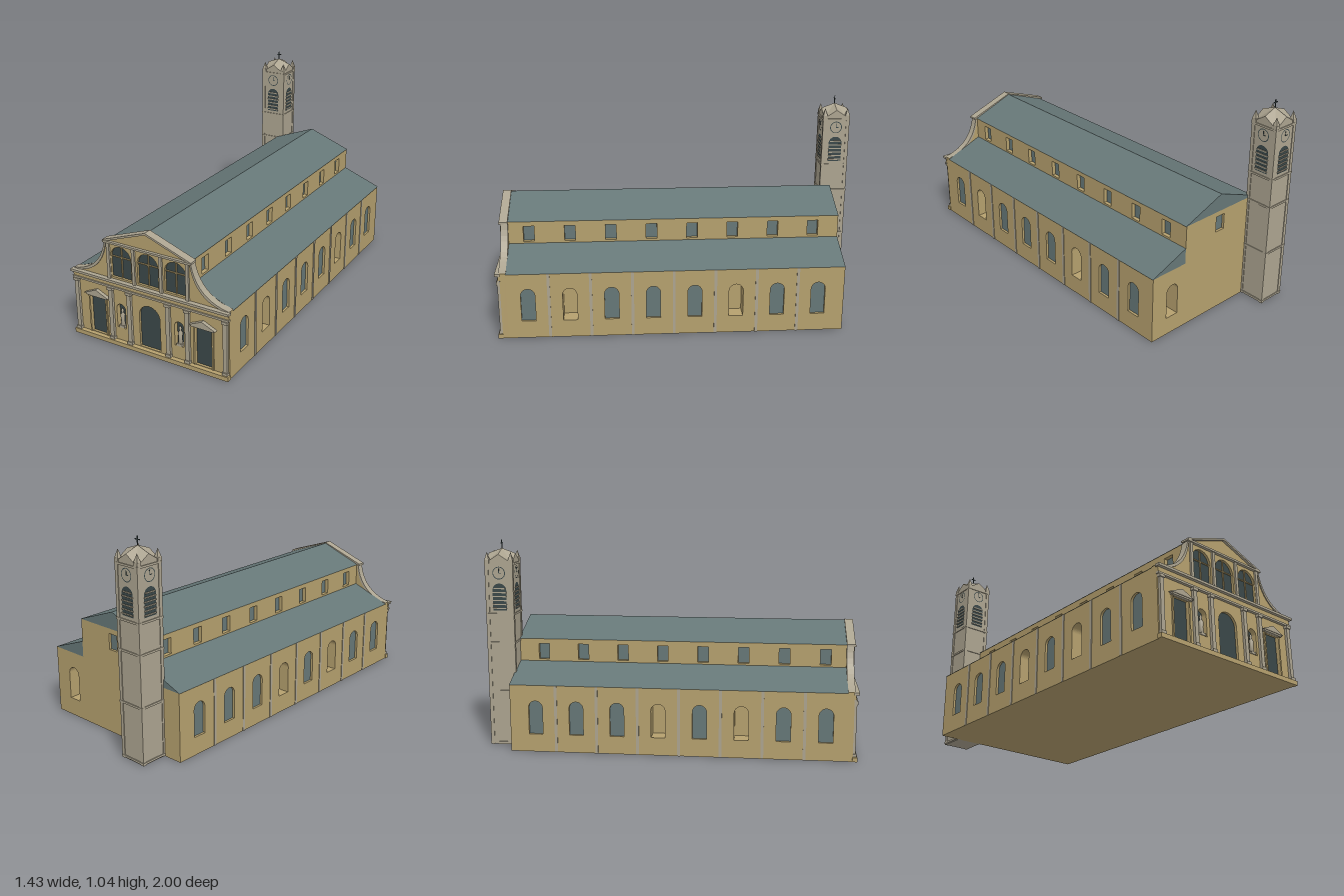
import * as THREE from 'three';

const paint = (name, color) => Object.assign(new THREE.MeshStandardMaterial({ color }), { name });
const wallMat = paint('ochre wall', 0xb5a06e);
const roofMat = paint('slate teal', 0x667777);
const darkMat = paint('dark opening', 0x3a4748);
const stoneMat = paint('pale stone', 0xaca490);

const HALF = 0.43, NAVE = 0.226, BACK = -0.843, FRONT = 0.845;
const AISLE_H = 0.34, NAVE_H = 0.535, RIDGE = 0.622;
const BAYS = Array.from({ length: 8 }, (_, i) => 0.714 - 0.204 * i);

function add(parent, name, geo, mat, x = 0, y = 0, z = 0) {
  const m = new THREE.Mesh(geo, mat);
  m.name = name;
  m.position.set(x, y, z);
  parent.add(m);
  return m;
}
const box = (parent, name, mat, w, h, d, x, y, z) =>
  add(parent, name, new THREE.BoxGeometry(w, h, d), mat, x, y, z);

function polygon(pts) {
  return new THREE.Shape(pts.map(p => new THREE.Vector2(p[0], p[1])));
}
const extrude = (shape, depth) =>
  new THREE.ExtrudeGeometry(shape, { depth, bevelEnabled: false, curveSegments: 10 });

// Opening outline, round-headed or square
function opening({ x, y0, y1, w, square }) {
  const r = w / 2, s = new THREE.Shape();
  s.moveTo(x - r, y0);
  s.lineTo(x + r, y0);
  if (square) {
    s.lineTo(x + r, y1);
    s.lineTo(x - r, y1);
  } else {
    s.lineTo(x + r, y1 - r);
    s.absarc(x, y1 - r, r, 0, Math.PI, false);
  }
  s.closePath();
  return s;
}

// Wall in the XY plane with its outer face at z = 0, openings cut through and glazed
function wall(parent, name, shape, depth, openings) {
  const g = new THREE.Group();
  g.name = name;
  openings.forEach(o => {
    shape.holes.push(opening(o));
    if (o.glass) {
      add(g, 'pane', new THREE.ShapeGeometry(opening(o), 10), o.glass, 0, 0, -(o.recess || 0.012));
    }
  });
  add(g, 'masonry', extrude(shape, depth), wallMat, 0, 0, -depth);
  parent.add(g);
  return g;
}

function buildBody(church) {
  const back = BACK + 0.08, front = 0.815, len = front - back, mid = (front + back) / 2;
  box(church, 'aisleCore', wallMat, 0.7, AISLE_H, len, 0, AISLE_H / 2, mid);
  box(church, 'naveCore', wallMat, 0.392, 0.195, len, 0, 0.4375, mid);

  for (const s of [1, -1]) {
    const blind = s > 0 ? [1, 5] : [2, 4];
    const strip = (y0, y1) => polygon([[-s * front, y0], [-s * back, y0], [-s * back, y1], [-s * front, y1]]);
    // Aisle wall, with a few unglazed windows
    const aisle = wall(church, 'aisleWall', strip(0, AISLE_H), 0.08, BAYS.map((z, i) => (
      { x: -s * z, y0: 0.09, y1: 0.26, w: 0.07, glass: blind.includes(i) ? null : roofMat })));
    aisle.rotation.y = s * Math.PI / 2;
    aisle.position.x = s * HALF;
    // Clerestory wall
    const upper = wall(church, 'clerestoryWall', strip(AISLE_H, NAVE_H), 0.03, BAYS.map(z => (
      { x: -s * z, y0: 0.43, y1: 0.51, w: 0.054, square: true, glass: roofMat, recess: 0.02 })));
    upper.rotation.y = s * Math.PI / 2;
    upper.position.x = s * NAVE;
    // Strips between the bays
    for (let i = 0; i < 7; i++) {
      box(church, 'wallStrip', stoneMat, 0.006, AISLE_H, 0.014, s * HALF, AISLE_H / 2, BAYS[i] - 0.102);
    }
    // Lean-to roof
    add(church, 'aisleRoof', extrude(polygon([[s * 0.433, AISLE_H], [s * NAVE, 0.42], [s * NAVE, AISLE_H]]),
      front - BACK), roofMat, 0, 0, BACK);
  }
  add(church, 'naveRoof', extrude(polygon([[-0.229, NAVE_H], [0.229, NAVE_H], [0, RIDGE]]),
    front - BACK), roofMat, 0, 0, BACK);

  // Stepped rear wall
  const rear = wall(church, 'rearWall', polygon([[-HALF, 0], [HALF, 0], [HALF, AISLE_H], [NAVE, AISLE_H],
    [NAVE, NAVE_H], [-NAVE, NAVE_H], [-NAVE, AISLE_H], [-HALF, AISLE_H]]), 0.08, [
    { x: -0.305, y0: 0.09, y1: 0.26, w: 0.07 },
    { x: 0, y0: 0.43, y1: 0.51, w: 0.054, square: true, glass: roofMat }]);
  rear.rotation.y = Math.PI;
  rear.position.z = BACK;
}

function buildFacade(church) {
  const f = new THREE.Group();
  f.name = 'facade';
  f.position.z = FRONT;
  church.add(f);

  // Front wall with swept shoulders and gable
  const s = new THREE.Shape();
  s.moveTo(-HALF, 0);
  s.lineTo(HALF, 0);
  s.lineTo(HALF, 0.345);
  s.quadraticCurveTo(0.265, 0.37, 0.235, 0.53);
  s.lineTo(0, 0.62);
  s.lineTo(-0.235, 0.53);
  s.quadraticCurveTo(-0.265, 0.37, -HALF, 0.345);
  s.closePath();
  const upper = [-0.15, 0, 0.15];
  wall(f, 'frontWall', s, 0.03, [
    { x: 0, y0: 0.025, y1: 0.25, w: 0.116, glass: darkMat },
    ...[-1, 1].flatMap(k => [
      { x: k * 0.296, y0: 0.025, y1: 0.225, w: 0.09, square: true, glass: darkMat },
      { x: k * 0.163, y0: 0.09, y1: 0.217, w: 0.05, glass: darkMat, recess: 0.025 }]),
    ...upper.map(x => ({ x, y0: 0.355, y1: 0.515, w: 0.114, glass: darkMat }))]);

  // Window bars
  for (const x of upper) {
    box(f, 'windowPost', wallMat, 0.005, 0.158, 0.006, x, 0.434, -0.009);
    box(f, 'windowBar', wallMat, 0.114, 0.005, 0.006, x, 0.459, -0.009);
  }
  // Plinth and cornices
  box(f, 'plinth', wallMat, 0.868, 0.022, 0.024, 0, 0.011, 0.01);
  box(f, 'lowerMoulding', stoneMat, 0.866, 0.01, 0.016, 0, 0.304, 0.006);
  box(f, 'frieze', wallMat, 0.862, 0.024, 0.01, 0, 0.321, 0.003);
  box(f, 'mainCornice', stoneMat, 0.874, 0.012, 0.026, 0, 0.339, 0.01);
  box(f, 'upperCornice', stoneMat, 0.484, 0.01, 0.016, 0, 0.533, 0.006);
  add(f, 'gableCoping', extrude(polygon([[-0.243, 0.53], [-0.243, 0.54], [0, 0.627], [0.243, 0.54],
    [0.243, 0.53], [0, 0.617]]), 0.042), stoneMat, 0, 0, -0.03);

  const statue = new THREE.LatheGeometry([[0, 0], [0.011, 0], [0.009, 0.03], [0.012, 0.055], [0.004, 0.068],
    [0.007, 0.076], [0.005, 0.086], [0, 0.09]].map(p => new THREE.Vector2(...p)), 10);

  for (const k of [-1, 1]) {
    // Lower and upper pilasters
    for (const x of [0.108, 0.213, 0.413]) {
      box(f, 'pilaster', stoneMat, 0.022, 0.275, 0.014, k * x, 0.162, 0.006);
      box(f, 'pilasterBase', stoneMat, 0.028, 0.014, 0.02, k * x, 0.03, 0.008);
      box(f, 'pilasterCapital', stoneMat, 0.03, 0.014, 0.02, k * x, 0.292, 0.008);
    }
    for (const x of [0.075, 0.217]) {
      box(f, 'upperPilaster', stoneMat, 0.016, 0.183, 0.01, k * x, 0.4365, 0.004);
    }
    // Shoulder coping
    const c = new THREE.Shape();
    c.moveTo(k * 0.43, 0.347);
    c.quadraticCurveTo(k * 0.267, 0.372, k * 0.237, 0.53);
    c.lineTo(k * 0.229, 0.53);
    c.quadraticCurveTo(k * 0.255, 0.362, k * 0.41, 0.342);
    c.closePath();
    add(f, 'shoulderCoping', extrude(c, 0.036), stoneMat, 0, 0, -0.031);
    // Side door surround and pediment
    for (const e of [-1, 1]) {
      box(f, 'doorJamb', wallMat, 0.008, 0.2, 0.008, k * 0.296 + e * 0.049, 0.125, 0.003);
    }
    box(f, 'doorLintel', stoneMat, 0.12, 0.008, 0.018, k * 0.296, 0.23, 0.006);
    add(f, 'doorPediment', extrude(polygon([[-0.07, 0.234], [0.07, 0.234], [0, 0.265]]), 0.018),
      stoneMat, k * 0.296, 0, 0);
    // Niche figure
    box(f, 'nicheShelf', stoneMat, 0.03, 0.012, 0.024, k * 0.163, 0.097, -0.01);
    add(f, 'nicheStatue', statue, stoneMat, k * 0.163, 0.102, -0.01);
  }
}

function buildTower(church) {
  const t = new THREE.Group();
  t.name = 'bellTower';
  t.position.set(-0.261, 0, -0.906);
  church.add(t);
  const h = 0.068, top = 0.93;
  box(t, 'shaft', stoneMat, h * 2, top, h * 2, 0, top / 2, 0);
  for (const y of [0.01, 0.28, 0.53, 0.675, 0.925]) box(t, 'band', stoneMat, 0.145, 0.01, 0.145, 0, y, 0);

  for (let i = 0; i < 4; i++) {
    const side = new THREE.Group();
    side.name = 'towerSide';
    side.rotation.y = i * Math.PI / 2;
    t.add(side);
    // Corner strip and pinnacle
    box(side, 'cornerStrip', stoneMat, 0.018, top, 0.018, 0.062, top / 2, 0.062);
    box(side, 'pinnacleBase', stoneMat, 0.024, 0.018, 0.024, 0.06, 0.938, 0.06);
    const spike = add(side, 'pinnacle', new THREE.ConeGeometry(0.016, 0.04, 4).toNonIndexed(),
      stoneMat, 0.06, 0.966, 0.06);
    spike.geometry.computeVertexNormals();
    spike.rotation.y = Math.PI / 4;
    // Louvred belfry opening
    add(side, 'belfryOpening', new THREE.ShapeGeometry(opening({ x: 0, y0: 0.695, y1: 0.83, w: 0.07 }), 10),
      darkMat, 0, 0, h + 0.001);
    for (let j = 0; j < 6; j++) {
      box(side, 'louvre', stoneMat, j < 5 ? 0.07 : 0.056, 0.006, 0.006, 0, 0.705 + j * 0.02, h + 0.002);
    }
    // Clock
    add(side, 'clockFace', new THREE.CircleGeometry(0.029, 24), stoneMat, 0, 0.882, h + 0.002);
    add(side, 'clockRim', new THREE.RingGeometry(0.028, 0.032, 24), darkMat, 0, 0.882, h + 0.0025);
    box(side, 'minuteHand', darkMat, 0.003, 0.022, 0.002, 0, 0.893, h + 0.003);
    box(side, 'hourHand', darkMat, 0.014, 0.003, 0.002, 0.006, 0.882, h + 0.003);
    // Gable and its two folded roof planes
    const g = new THREE.BufferGeometry();
    const l = [-h, top, h], r = [h, top, h], p = [0, 0.975, h], a = [0, 1.0, 0];
    g.setAttribute('position', new THREE.Float32BufferAttribute([l, r, p, l, p, a, p, r, a].flat(), 3));
    g.computeVertexNormals();
    add(side, 'towerGable', g, stoneMat);
  }
  // Cross
  box(t, 'crossPost', darkMat, 0.004, 0.046, 0.004, 0, 1.018, 0);
  box(t, 'crossArm', darkMat, 0.028, 0.004, 0.004, 0, 1.025, 0);
}

export function createModel() {
  const model = new THREE.Group();
  model.name = 'church';
  const church = new THREE.Group();
  church.name = 'building';
  church.rotation.y = -0.3715;
  church.position.set(0.005, 0, 0.03);
  model.add(church);
  buildBody(church);
  buildFacade(church);
  buildTower(church);
  return model;
}
